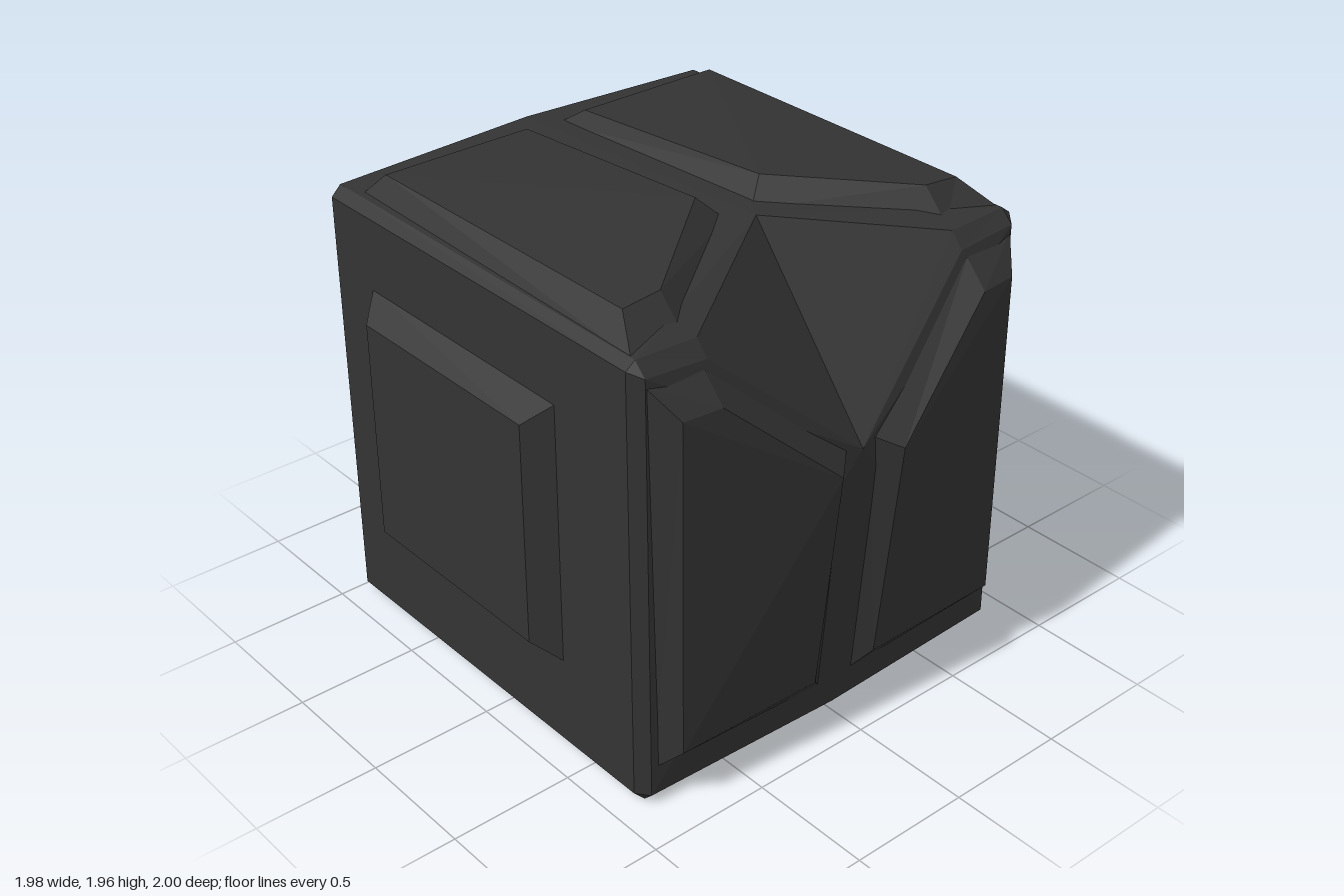
import * as THREE from 'three';

const material = new THREE.MeshStandardMaterial({ color: 0x333333, flatShading: true });

// Turns convex polygons (counter-clockwise from outside) into a flat-shaded mesh
function polyMesh(name, polygons) {
  const pos = [];
  for (const p of polygons)
    for (let i = 1; i < p.length - 1; i++) pos.push(...p[0], ...p[i], ...p[i + 1]);
  const geometry = new THREE.BufferGeometry();
  geometry.setAttribute('position', new THREE.Float32BufferAttribute(pos, 3));
  geometry.computeVertexNormals();
  const mesh = new THREE.Mesh(geometry, material);
  mesh.name = name;
  return mesh;
}

const mirror = (polygons) =>
  polygons.map((p) => p.map(([x, y, z]) => [-x, y, z]).reverse())
    .map((p) => [p[p.length - 1], ...p.slice(0, -1)]); // keep the fan's first corner

// Raised plate: sloped rim from the outer ring to the inner ring, plus a cap
function plate(outer, inner) {
  const n = outer.length;
  const rim = outer.map((o, i) => [o, outer[(i + 1) % n], inner[(i + 1) % n], inner[i]]);
  return [inner, ...rim];
}

// Rectangular plate on the +x side
function sidePlate(z0, z1, y0, y1, bevel) {
  const ring = (x, d) => [
    [x, y0 + d, z1 - d], [x, y0 + d, z0 + d], [x, y1 - d, z0 + d], [x, y1 - d, z1 - d],
  ];
  return plate(ring(0.895, 0), ring(0.99, bevel));
}

// Half of the chamfered body, with centre ridges and a diamond hollow at the upper front
function halfBody() {
  const F = [[0, 0.04, 0.84], [0, 1.21, 0.94], [0.6, 1.73, 0.8], [0.86, 1.75, 0.8], [0.86, 0.04, 0.81]];
  const S = [[0.9, 0.04, 0.76], [0.9, 1.77, 0.75], [0.9, 1.77, -0.96], [0.9, 0.04, -0.96]];
  const B = [[0, 0.04, -1], [0.86, 0.04, -1], [0.86, 1.76, -1], [0, 1.78, -1]];
  const T = [[0, 1.9, 0.37], [0.6, 1.79, 0.75], [0.86, 1.8, 0.75], [0.86, 1.81, -0.96], [0, 1.84, -0.96]];
  const D = [[0, 0, 0.8], [0.86, 0, 0.77], [0.86, 0, -0.96], [0, 0, -0.96]];
  return [
    // main faces: front, side, back, top, bottom, diamond
    [F[1], F[0], F[4], F[3], F[2]], [S[0], S[3], S[2], S[1]], [B[1], B[0], B[3], B[2]],
    T, [D[0], D[3], D[2], D[1]], [F[1], F[2], T[1], T[0]],
    // upright and upper chamfers
    [F[4], S[0], S[1], F[3]], [S[3], B[1], B[2], S[2]], [S[1], S[2], T[3], T[2]],
    [B[2], B[3], T[4], T[3]], [F[2], F[3], T[2], T[1]],
    // lower chamfers
    [D[0], D[1], F[4], F[0]], [D[1], D[2], S[3], S[0]], [D[2], D[3], B[0], B[1]],
    // corners
    [F[3], S[1], T[2]], [S[2], B[2], T[3]], [D[1], S[0], F[4]], [D[2], B[1], S[3]],
  ];
}

export function createModel() {
  const model = new THREE.Group();
  model.name = 'armouredBlock';

  const half = halfBody();
  model.add(polyMesh('body', [...half, ...mirror(half)]));

  // Front plates, highest beside the centre groove
  const front = plate(
    [[0.06, 1.23, 0.92], [0.07, 0.15, 0.835], [0.84, 0.15, 0.8], [0.86, 1.72, 0.795], [0.62, 1.7, 0.81]],
    [[0.15, 1.18, 1.0], [0.15, 0.24, 0.9], [0.78, 0.24, 0.89], [0.78, 1.6, 0.89], [0.62, 1.6, 0.905]],
  );
  // Top plates, highest at the inner front corner
  const top = plate(
    [[0.06, 1.87, 0.28], [0.62, 1.79, 0.7], [0.86, 1.795, 0.73], [0.84, 1.8, -0.85], [0.07, 1.83, -0.85]],
    [[0.15, 1.96, 0.22], [0.62, 1.905, 0.59], [0.78, 1.89, 0.59], [0.78, 1.89, -0.77], [0.14, 1.89, -0.77]],
  );
  for (const [name, polygons] of [['FrontPlate', front], ['TopPlate', top]]) {
    model.add(polyMesh('left' + name, polygons));
    model.add(polyMesh('right' + name, mirror(polygons)));
  }

  // Side plates: large on the left, small on the right
  model.add(polyMesh('leftSidePlate', sidePlate(-0.89, 0.64, 0.15, 1.67, 0.085)));
  model.add(polyMesh('rightSidePlate', mirror(sidePlate(-0.73, 0.37, 0.4, 1.48, 0.085))));
  return model;
}
